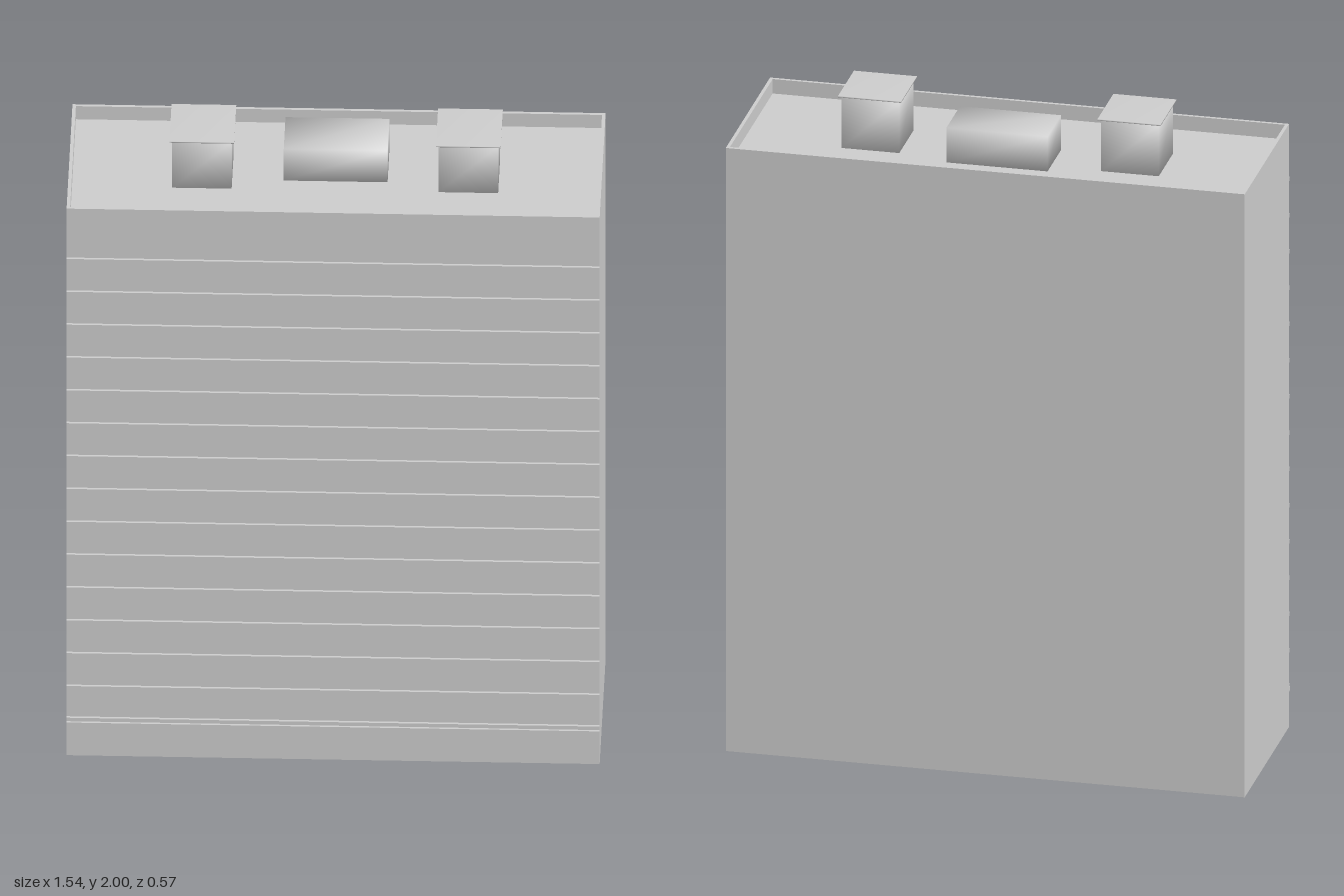
import * as THREE from 'three';
import { mergeVertices } from 'three/addons/utils/BufferGeometryUtils.js';

const grey = new THREE.MeshStandardMaterial({ color: 0xcccccc });
grey.name = 'concrete grey';
grey.side = THREE.DoubleSide;

function add(parent, name, geometry, x = 0, y = 0, z = 0) {
  const mesh = new THREE.Mesh(geometry, grey);
  mesh.name = name;
  mesh.position.set(x, y, z);
  parent.add(mesh);
  return mesh;
}

// Box with normals blended across its edges
function softBox(w, h, d) {
  const box = new THREE.BoxGeometry(w, h, d);
  box.deleteAttribute('normal');
  box.deleteAttribute('uv');
  const soft = mergeVertices(box);
  soft.computeVertexNormals();
  return soft;
}

// Open-bottomed shell: rectangular rings up the wall, over the rim and down to the roof
function shellGeometry() {
  const rings = [
    { x: 0.77, back: -0.285, front: 0.27, y: 0 },
    { x: 0.77, back: -0.285, front: 0.27, y: 1.88 },
    { x: 0.76, back: -0.275, front: 0.26, y: 1.88 },
    { x: 0.76, back: -0.275, front: 0.26, y: 1.835 },
  ].map(({ x, back, front, y }) => [
    [-x, y, front], [x, y, front], [x, y, back], [-x, y, back],
  ]);
  const points = [];
  const quad = (a, b, c, d) => points.push(...a, ...b, ...c, ...a, ...c, ...d);
  for (let r = 0; r < rings.length - 1; r++) {
    for (let i = 0; i < 4; i++) {
      const j = (i + 1) % 4;
      quad(rings[r][i], rings[r][j], rings[r + 1][j], rings[r + 1][i]);
    }
  }
  quad(...rings[3]);
  const geometry = new THREE.BufferGeometry();
  geometry.setAttribute('position', new THREE.Float32BufferAttribute(points, 3));
  geometry.computeVertexNormals();
  return geometry;
}

export function createModel() {
  const model = new THREE.Group();
  model.name = 'building';

  add(model, 'wallsAndRoof', shellGeometry());

  // Thin ledges across the front at every half storey
  const ledges = new THREE.Group();
  ledges.name = 'frontLedges';
  model.add(ledges);
  const ledge = new THREE.BoxGeometry(1.54, 0.012, 0.008);
  for (let i = 0; i < 14; i++) add(ledges, 'ledge', ledge, 0, 1.706 - i * 0.113, 0.274);

  // Deeper ledge with a small step over the ground floor
  add(ledges, 'groundLedge', new THREE.BoxGeometry(1.54, 0.012, 0.015), 0, 0.116, 0.2775);
  add(ledges, 'groundLedgeStep', new THREE.BoxGeometry(1.54, 0.012, 0.008), 0, 0.128, 0.274);

  // Capped stair houses on both sides of the roof
  for (const side of [-1, 1]) {
    const house = new THREE.Group();
    house.name = side > 0 ? 'leftRoofHouse' : 'rightRoofHouse';
    add(house, 'houseBody', softBox(0.172, 0.161, 0.18), 0, 1.9155, 0);
    add(house, 'houseCap', softBox(0.187, 0.004, 0.2), 0, 1.998, 0);
    house.position.set(side * 0.385, 0, -0.01);
    model.add(house);
  }

  // Low plant room in the middle
  add(model, 'plantRoom', softBox(0.3, 0.108, 0.17), 0, 1.889, -0.053);

  return model;
}
